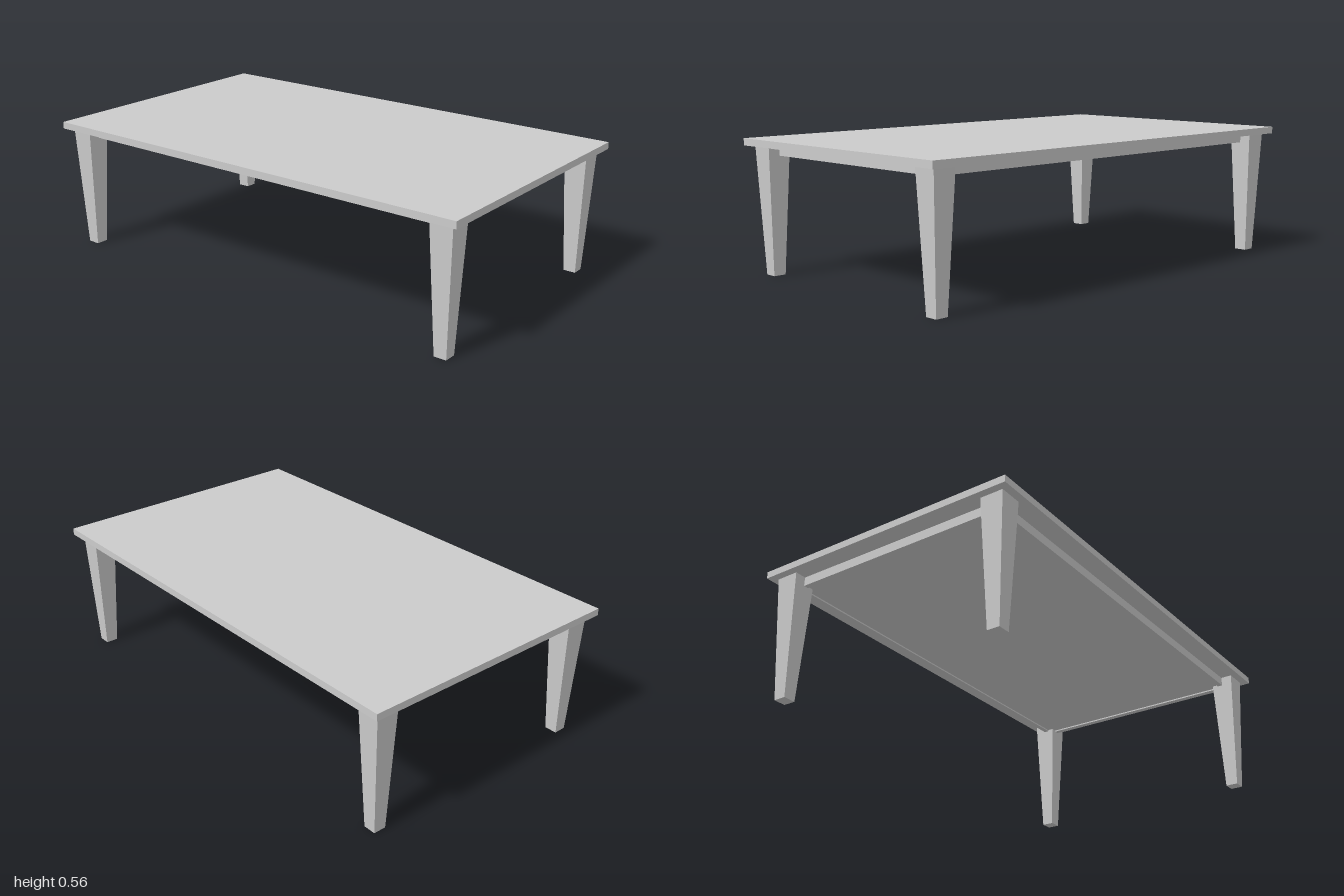
import * as THREE from 'three';

const material = new THREE.MeshStandardMaterial({ color: 0xcccccc, flatShading: true });

function board(name, size, position) {
  const mesh = new THREE.Mesh(new THREE.BoxGeometry(...size), material);
  mesh.name = name;
  mesh.position.set(...position);
  return mesh;
}

// Square leg, narrowing evenly towards the floor
function taperedLeg(name, x, z) {
  const height = 0.528, topWidth = 0.098, footScale = 0.54;
  const geometry = new THREE.BoxGeometry(topWidth, height, topWidth);
  const p = geometry.attributes.position;
  for (let i = 0; i < p.count; i++) {
    if (p.getY(i) < 0) {
      p.setX(i, p.getX(i) * footScale);
      p.setZ(i, p.getZ(i) * footScale);
    }
  }
  geometry.computeVertexNormals();
  const mesh = new THREE.Mesh(geometry, material);
  mesh.name = name;
  mesh.position.set(x, height / 2, z);
  return mesh;
}

export function createModel() {
  const table = new THREE.Group();
  table.name = 'table';
  const legX = 0.919, legZ = 0.503;

  table.add(board('tableTop', [2, 0.029, 1.17], [0, 0.5425, 0]));

  for (const sx of [-1, 1]) {
    for (const sz of [-1, 1]) {
      const name = (sz > 0 ? 'front' : 'back') + (sx > 0 ? 'Left' : 'Right') + 'Leg';
      table.add(taperedLeg(name, sx * legX, sz * legZ));
    }
  }

  // Apron rails joining the legs under the top
  for (const s of [-1, 1]) {
    table.add(board(s > 0 ? 'frontRail' : 'backRail', [2 * legX - 0.06, 0.038, 0.022], [0, 0.509, s * 0.492]));
    table.add(board(s > 0 ? 'leftRail' : 'rightRail', [0.022, 0.038, 2 * legZ - 0.06], [s * 0.908, 0.509, 0]));
  }

  // Panel closing the frame from below, set just inside the rails
  table.add(board('underPanel', [1.796, 0.032, 0.964], [0, 0.512, 0]));
  return table;
}
